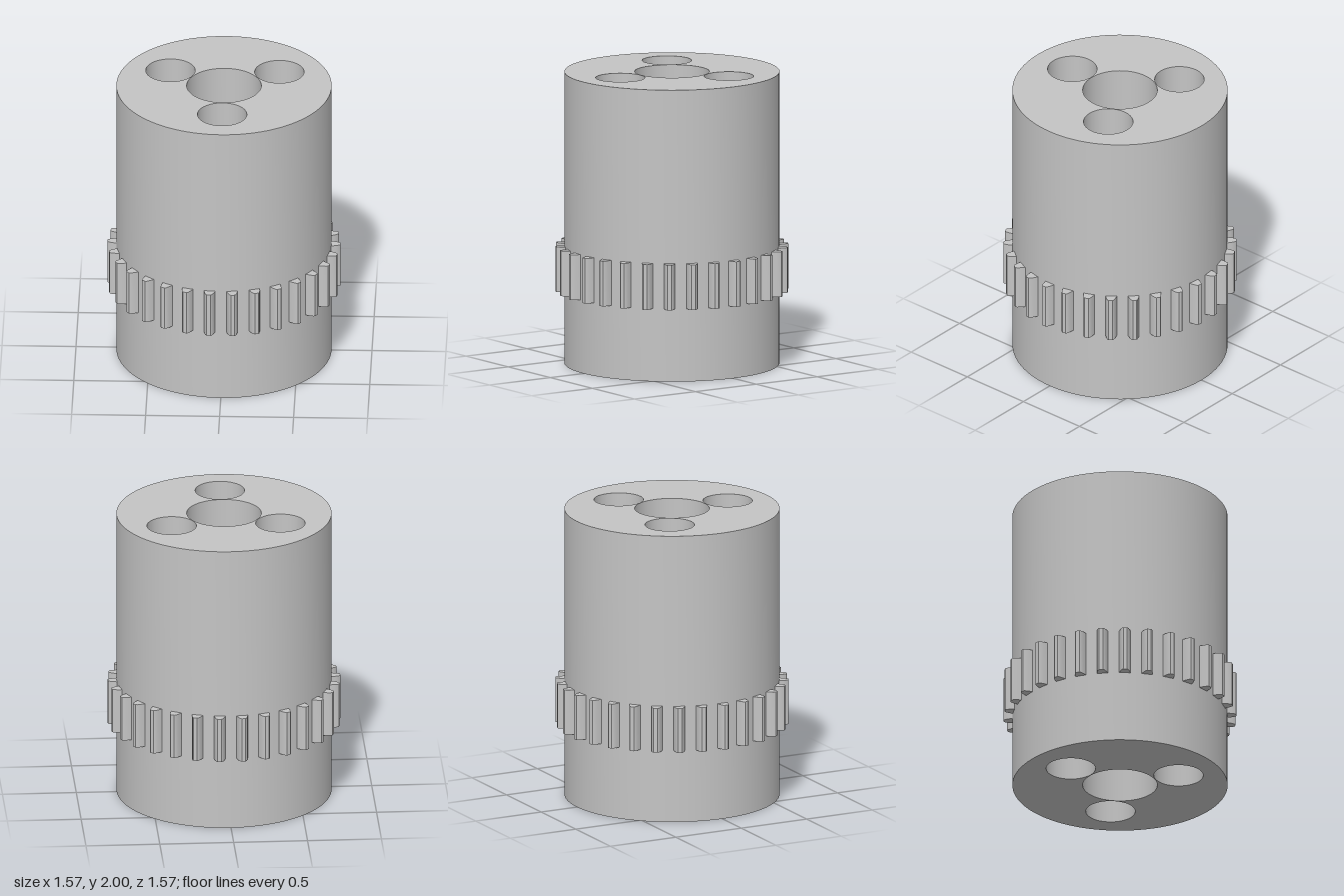
import * as THREE from 'three';
import { toCreasedNormals } from 'three/addons/utils/BufferGeometryUtils.js';

const HEIGHT = 2, RADIUS = 0.727;
const TEETH = 30, TOOTH_BOTTOM = 0.5, TOOTH_HEIGHT = 0.31, TIP_RADIUS = 0.787;

// Extrude a plan outline upwards along y from the given height
function extrudeUp(shape, bottom, height, curveSegments = 48) {
  const geometry = new THREE.ExtrudeGeometry(shape, { depth: height, bevelEnabled: false, curveSegments });
  geometry.rotateX(-Math.PI / 2);
  geometry.translate(0, bottom, 0);
  return toCreasedNormals(geometry, Math.PI / 6);
}

function circleHole(x, y, r) {
  const hole = new THREE.Path();
  hole.absarc(x, y, r, 0, Math.PI * 2, true);
  return hole;
}

export function createModel() {
  const model = new THREE.Group();
  model.name = 'gearedCylinder';
  const grey = new THREE.MeshStandardMaterial({ color: 0xc4c4c4 });
  grey.name = 'grey metal';

  // Cylinder with a central bore and three smaller bores around it
  const disc = new THREE.Shape();
  disc.absarc(0, 0, RADIUS, 0, Math.PI * 2, false);
  disc.holes.push(circleHole(0, 0, 0.252));
  for (let i = 0; i < 3; i++) {
    const a = -Math.PI / 2 + (i * Math.PI * 2) / 3;
    disc.holes.push(circleHole(0.425 * Math.cos(a), 0.425 * Math.sin(a), 0.167));
  }
  const body = new THREE.Mesh(extrudeUp(disc, 0, HEIGHT), grey);
  body.name = 'boredCylinder';
  model.add(body);

  // Ring of tapered gear teeth, rooted slightly inside the cylinder
  const profile = new THREE.Shape([
    [RADIUS - 0.02, -0.041], [RADIUS, -0.038], [0.755, -0.031], [0.779, -0.022], [TIP_RADIUS, -0.013],
    [TIP_RADIUS, 0.013], [0.779, 0.022], [0.755, 0.031], [RADIUS, 0.038], [RADIUS - 0.02, 0.041],
  ].map(([x, y]) => new THREE.Vector2(x, y)));
  const toothGeometry = extrudeUp(profile, TOOTH_BOTTOM, TOOTH_HEIGHT);
  const ring = new THREE.Group();
  ring.name = 'gearTeeth';
  for (let i = 0; i < TEETH; i++) {
    const tooth = new THREE.Mesh(toothGeometry, grey);
    tooth.name = 'tooth';
    tooth.rotation.y = (i / TEETH) * Math.PI * 2;
    ring.add(tooth);
  }
  model.add(ring);

  return model;
}
